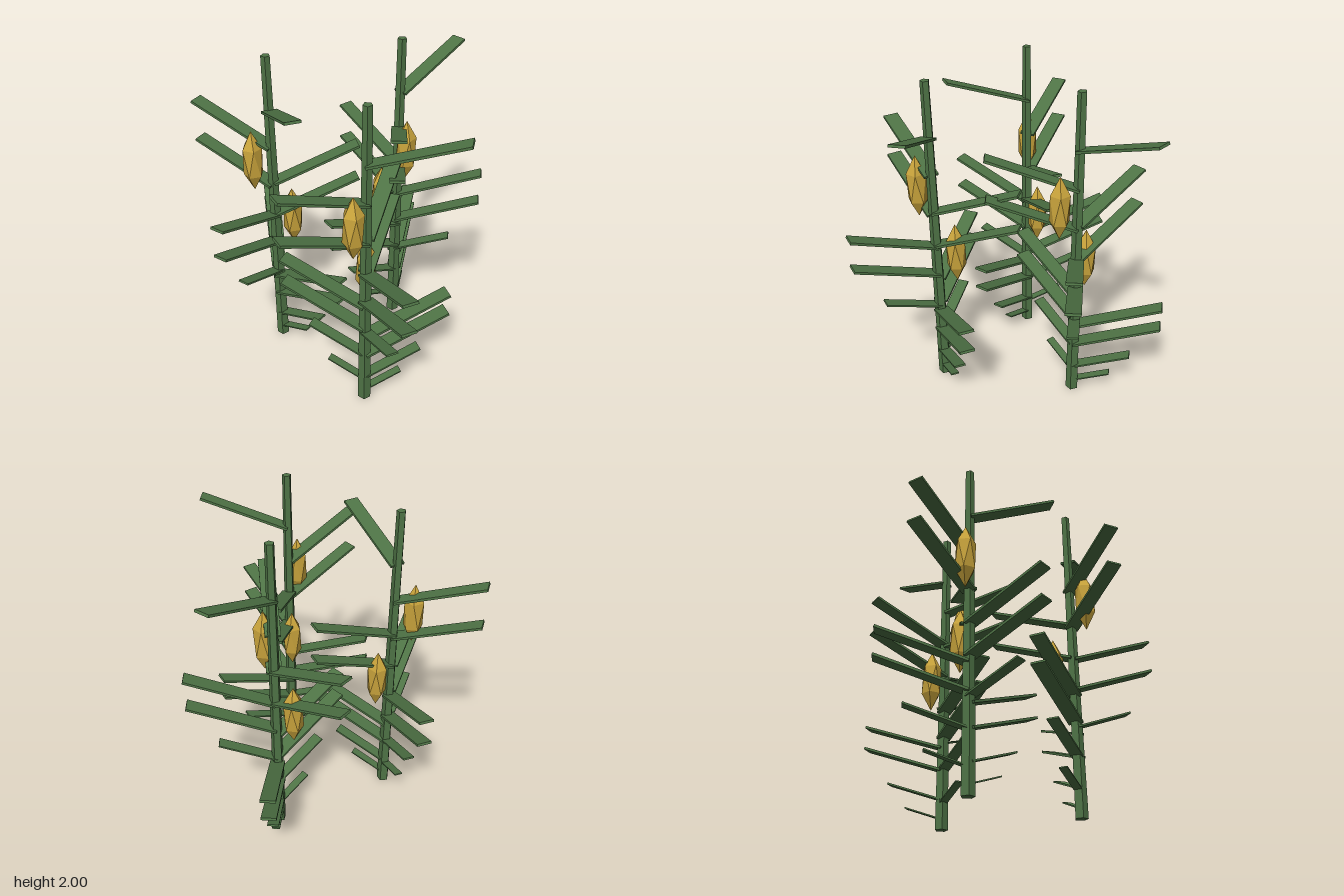
import * as THREE from 'three';

const LEAF_TURN = 2.4;   // spiral step between leaves
const LEAF_TILT = 0.35;  // upward slope of every leaf

// Leaf sets, from seedling leaves to the full-height plant
const TIERS = [
  { count: 2, start: 0.065, step: 0.09, length: 0.245, width: 0.05, thick: 0.008 },
  { count: 3, start: 0.18, step: 0.178, length: 0.37, width: 0.07, thick: 0.011 },
  { count: 5, start: 0.36, step: 0.205, length: 0.55, width: 0.09, thick: 0.015, cob: { y: 0.915, angle: 1.2 } },
  { count: 6, start: 0.5, step: 0.233, length: 0.55, width: 0.09, thick: 0.015, cob: { y: 1.335, angle: 3.73 } },
];

const STALKS = [
  { x: -0.38, z: 0.275, turn: 0 },
  { x: 0.4, z: 0.395, turn: 1 },
  { x: 0.06, z: -0.375, turn: 2 },
];

export function createModel() {
  const green = new THREE.MeshStandardMaterial({ color: 0x4f7446, flatShading: true });
  green.name = 'leaf green';
  const gold = new THREE.MeshStandardMaterial({ color: 0xc9a43c, flatShading: true });
  gold.name = 'ripe gold';

  // Five-sided tapering stalk
  const stalkGeo = new THREE.CylinderGeometry(0.027, 0.04, 2, 5);
  stalkGeo.rotateY(Math.PI);
  stalkGeo.translate(0, 1, 0);

  // Stretched twenty-sided cob standing on a point
  const cobGeo = new THREE.IcosahedronGeometry(1, 0);
  cobGeo.rotateZ(Math.atan(2 / (1 + Math.sqrt(5))));
  cobGeo.scale(0.067, 0.197, 0.067);

  // Flat leaf starting at the stalk axis and rising outward
  const leafGeos = TIERS.map((t) => {
    const g = new THREE.BoxGeometry(t.length, t.thick, t.width);
    g.translate(t.length / 2, 0, 0);
    g.rotateZ(LEAF_TILT);
    return g;
  });

  const model = new THREE.Group();
  model.name = 'cropPlants';

  for (const s of STALKS) {
    const plant = new THREE.Group();
    plant.name = 'plant';
    plant.position.set(s.x, 0, s.z);

    const stalk = new THREE.Mesh(stalkGeo, green);
    stalk.name = 'stalk';
    plant.add(stalk);

    TIERS.forEach((t, k) => {
      for (let i = 0; i < t.count; i++) {
        const leaf = new THREE.Mesh(leafGeos[k], green);
        leaf.name = 'leaf';
        leaf.position.y = t.start + i * t.step;
        leaf.rotation.y = i * LEAF_TURN + s.turn;
        plant.add(leaf);
      }
      if (t.cob) {
        const a = t.cob.angle + s.turn;
        const cob = new THREE.Mesh(cobGeo, gold);
        cob.name = 'cob';
        cob.position.set(0.115 * Math.cos(a), t.cob.y, -0.115 * Math.sin(a));
        plant.add(cob);
      }
    });
    model.add(plant);
  }
  return model;
}
